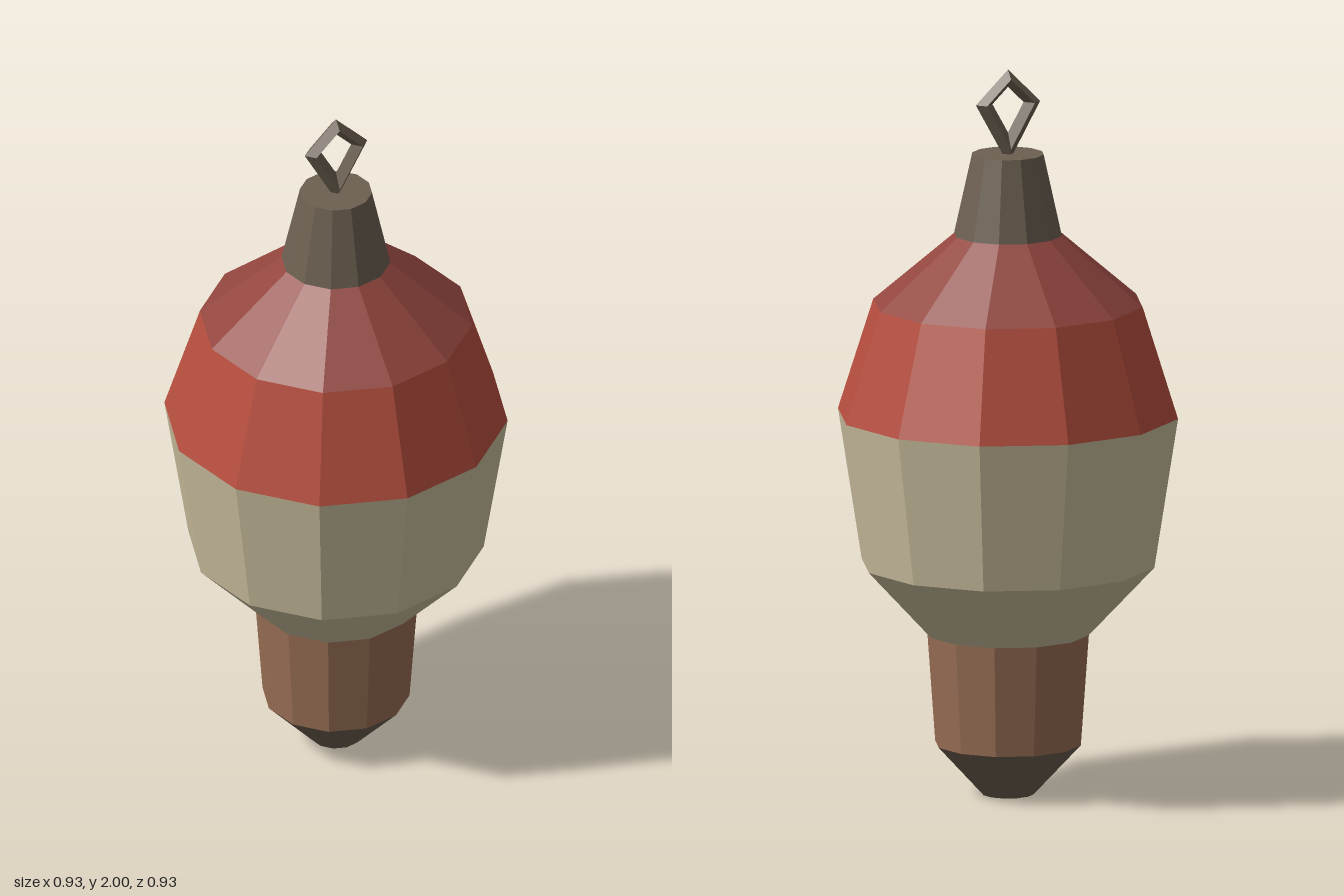
import * as THREE from 'three';

const SIDES = 12;
const mat = (name, color) => {
  const m = new THREE.MeshStandardMaterial({ color, flatShading: true });
  m.name = name;
  return m;
};

export function createModel() {
  const red = mat('red paint', 0xb64e3e);
  const dullRed = mat('faded red paint', 0x92463e);
  const cream = mat('cream paint', 0xcbbf9f);
  const wood = mat('brown wood', 0x986e54);
  const metal = mat('dark metal', 0x6c6051);

  const group = new THREE.Group();
  group.name = 'float';
  const add = (name, geometry, material) => {
    const mesh = new THREE.Mesh(geometry, material);
    mesh.name = name;
    group.add(mesh);
    return mesh;
  };

  // Stacked faceted bands: name, lower radius, lower y, upper radius, upper y, material, closed ends
  const bands = [
    ['bottomTip', 0.07, 0, 0.2, 0.14, metal, true],
    ['woodenStem', 0.2, 0.14, 0.222, 0.445, wood, true],
    ['lowerBodyTaper', 0.222, 0.445, 0.402, 0.637, cream, false],
    ['lowerBody', 0.402, 0.637, 0.467, 1.05, cream, false],
    ['upperBody', 0.467, 1.05, 0.37, 1.355, red, false],
    ['shoulder', 0.37, 1.355, 0.147, 1.545, dullRed, false],
    ['topCap', 0.148, 1.545, 0.098, 1.768, metal, true],
  ];
  for (const [name, r0, y0, r1, y1, material, closed] of bands) {
    const g = new THREE.CylinderGeometry(r1, r0, y1 - y0, SIDES, 1, !closed);
    add(name, g, material).position.y = (y0 + y1) / 2;
  }

  // Kite-shaped hanging ring, its lower half drawn down into the cap
  const ring = new THREE.TorusGeometry(0.069, 0.024, 4, 4);
  const p = ring.attributes.position;
  for (let i = 0; i < p.count; i++) {
    const y = p.getY(i);
    p.setY(i, y < 0 ? y * 1.8 : y);
  }
  add('hangingRing', ring, metal).position.y = 1.907;

  return group;
}
